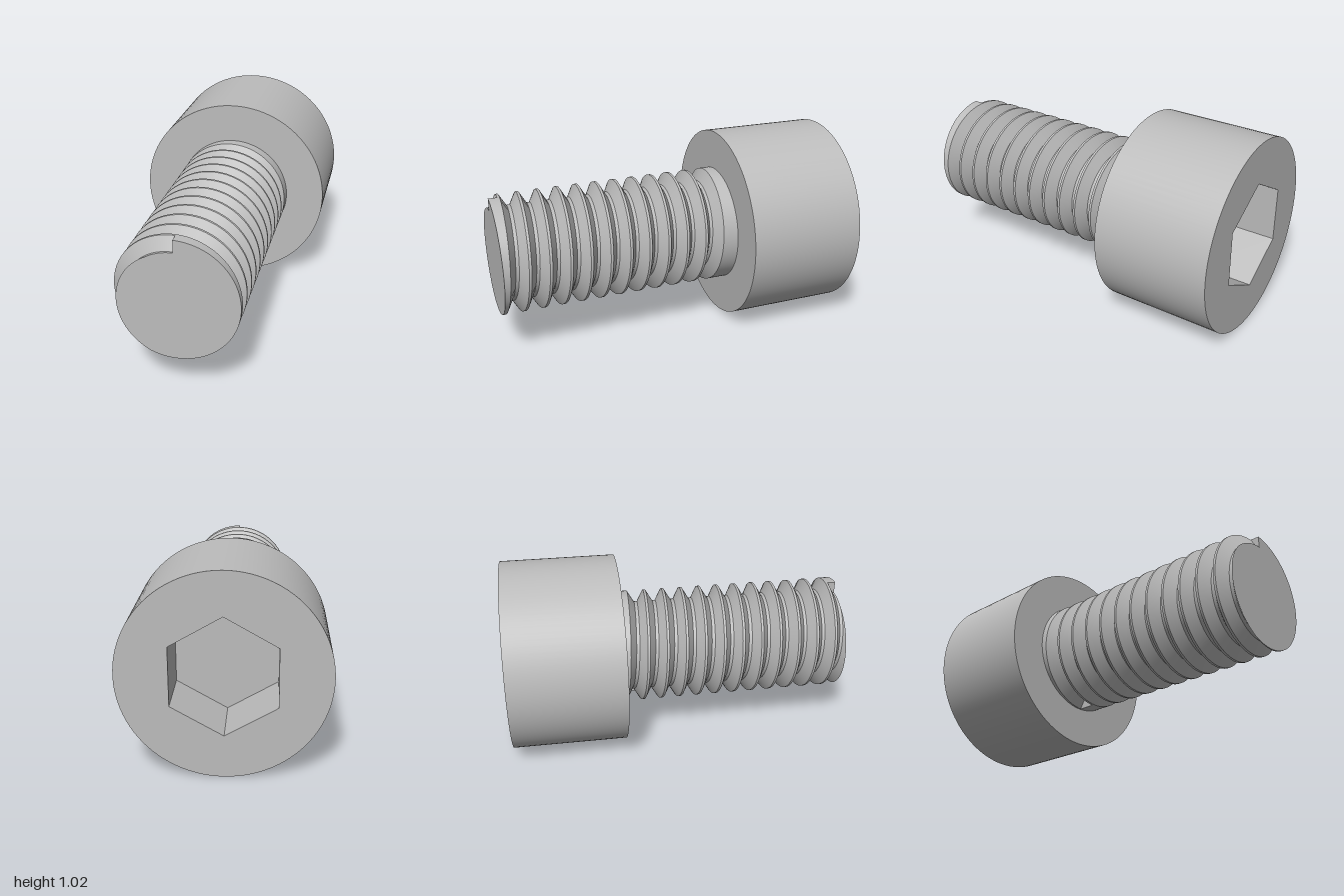
import * as THREE from 'three';

// Dimensions in bolt units: thread pitch = 1, axis along +x, tip at x = 0
const SCALE = 0.1016, SHANK = 12, LENGTH = 18;
const MAJOR = 3, MINOR = 2.387, HEAD_R = 5, HEX_R = 5 / Math.sqrt(3), SOCKET = 3;
const CREST = 0.4375, ROOT = 0.0833; // half widths of the groove at crest and root

// Groove radius at axial distance d from the groove centre
function grooveRadius(d) {
  const t = (Math.abs(d) - ROOT) / (CREST - ROOT);
  return MINOR + (MAJOR - MINOR) * Math.min(1, Math.max(0, t));
}

// Axial profile [x, r] of the shank at angle phi, starting at the tip centre
function shankProfile(phi, grooves) {
  const shift = phi / (2 * Math.PI);
  const pts = [[0, 0], [0, grooveRadius(shift)]];
  for (let k = 0; k < grooves; k++) {
    for (const d of [-CREST, -ROOT, ROOT, CREST]) {
      const x = Math.max(0, k + shift + d);
      pts.push([x, grooveRadius(x - k - shift)]);
    }
  }
  pts.push([SHANK, MAJOR]);
  return pts;
}

// Sweep the profile around the axis; each band keeps its own vertices for sharp edges
function shankSweep(phi0, phi1, grooves, steps) {
  const pos = [], index = [];
  const rows = [];
  for (let i = 0; i <= steps; i++) {
    const phi = phi0 + (phi1 - phi0) * i / steps;
    rows.push(shankProfile(phi, grooves).map(([x, r]) => [x, r * Math.cos(phi), -r * Math.sin(phi)]));
  }
  for (let j = 0; j < rows[0].length - 1; j++) {
    const base = pos.length / 3;
    rows.forEach((row) => pos.push(...row[j], ...row[j + 1]));
    for (let i = 0; i < steps; i++) {
      const a = base + i * 2;
      index.push(a, a + 1, a + 2, a + 1, a + 3, a + 2);
    }
  }
  const g = new THREE.BufferGeometry();
  g.setAttribute('position', new THREE.Float32BufferAttribute(pos, 3));
  g.setIndex(index);
  g.computeVertexNormals();
  return g;
}

function hexPath(Type) {
  const pts = [];
  for (let i = 0; i < 6; i++) {
    const a = Math.PI / 2 + i * Math.PI / 3;
    pts.push(new THREE.Vector2(HEX_R * Math.cos(a), HEX_R * Math.sin(a)));
  }
  return new Type(pts);
}

function disc(hole) {
  const s = new THREE.Shape().absarc(0, 0, HEAD_R, 0, Math.PI * 2);
  s.holes.push(hole);
  return s;
}

export function createModel() {
  const steel = new THREE.MeshStandardMaterial({ color: 0xbcbcbc, side: THREE.DoubleSide });
  steel.name = 'steel grey';
  const bolt = new THREE.Group();
  bolt.name = 'socketHeadBolt';
  const add = (parent, name, geometry) => {
    const m = new THREE.Mesh(geometry, steel);
    m.name = name;
    parent.add(m);
    return m;
  };

  // Threaded shank: the groove runs 11.5 turns, so one half has one groove more
  const shank = new THREE.Group();
  shank.name = 'threadedShank';
  add(shank, 'threadHalfBack', shankSweep(0, Math.PI, 12, 48));
  add(shank, 'threadHalfFront', shankSweep(Math.PI, 2 * Math.PI, 11, 48));

  // Flat walls where the groove starts (top of the tip) and stops (below the neck)
  const startWall = new THREE.Shape([[0, MINOR], [ROOT, MINOR], [CREST, MAJOR], [0, MAJOR]]
    .map((p) => new THREE.Vector2(...p)));
  add(shank, 'grooveStartWall', new THREE.ShapeGeometry(startWall));
  const endWall = new THREE.Shape([[-CREST, -MAJOR], [CREST, -MAJOR], [ROOT, -MINOR], [-ROOT, -MINOR]]
    .map(([x, y]) => new THREE.Vector2(x + 11.5, y)));
  add(shank, 'grooveEndWall', new THREE.ShapeGeometry(endWall));
  bolt.add(shank);

  // Cylindrical head
  const head = new THREE.Group();
  head.name = 'head';
  const side = new THREE.CylinderGeometry(HEAD_R, HEAD_R, LENGTH - SHANK, 96, 1, true);
  add(head, 'headSide', side.rotateZ(-Math.PI / 2).translate((SHANK + LENGTH) / 2, 0, 0));
  const topFace = new THREE.ShapeGeometry(disc(hexPath(THREE.Path)), 48);
  add(head, 'headFace', topFace.rotateY(Math.PI / 2).translate(LENGTH, 0, 0));
  const neckHole = new THREE.Path().absarc(0, 0, MAJOR - 0.01, 0, Math.PI * 2, true);
  const underFace = new THREE.ShapeGeometry(disc(neckHole), 48);
  add(head, 'headUnderside', underFace.rotateY(-Math.PI / 2).translate(SHANK, 0, 0));

  // Hexagonal drive socket
  const walls = new THREE.CylinderGeometry(HEX_R, HEX_R, SOCKET, 6, 1, true, Math.PI / 6).toNonIndexed();
  walls.computeVertexNormals();
  add(head, 'socketWalls', walls.rotateZ(-Math.PI / 2).translate(LENGTH - SOCKET / 2, 0, 0));
  const floor = new THREE.ShapeGeometry(hexPath(THREE.Shape));
  add(head, 'socketFloor', floor.rotateY(Math.PI / 2).translate(LENGTH - SOCKET, 0, 0));
  bolt.add(head);

  // Lay the bolt down, turned about the vertical
  bolt.scale.setScalar(SCALE);
  bolt.rotation.y = THREE.MathUtils.degToRad(24.5);
  bolt.position.set(-0.886, 0.51, 0.461);
  const model = new THREE.Group();
  model.name = 'model';
  model.add(bolt);
  return model;
}
